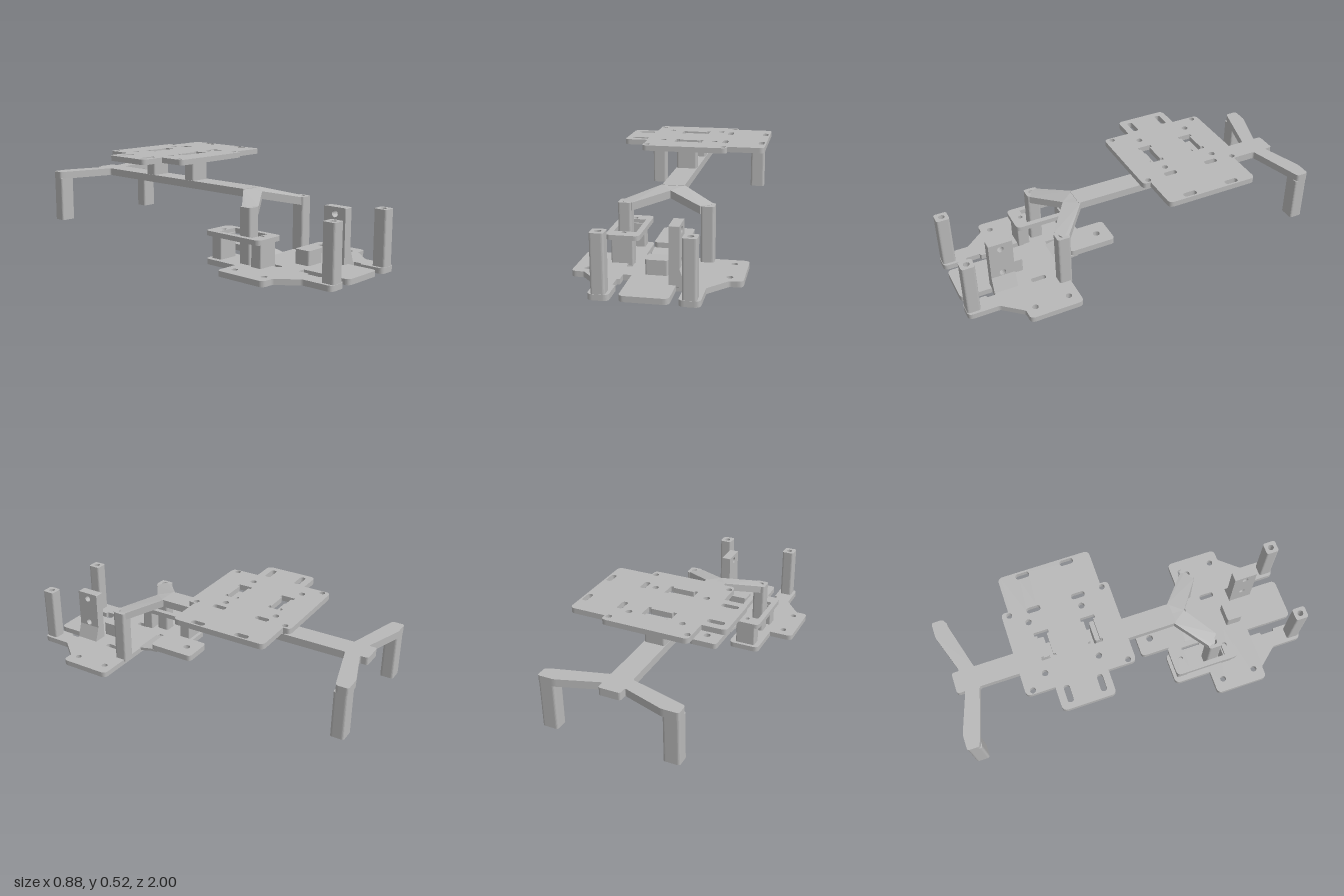
import * as THREE from 'three';
import { ConvexGeometry } from 'three/addons/geometries/ConvexGeometry.js';

const CX = -0.01; // the frame's mirror line

// Polygon with rounded corners; each point is [a, b, optional radius]
function rounded(pts, r, target) {
  const n = pts.length;
  pts.forEach((p, i) => {
    const rad = p[2] ?? r;
    const c = new THREE.Vector2(p[0], p[1]);
    const toward = (q) => {
      const d = new THREE.Vector2(q[0], q[1]).sub(c);
      const len = d.length();
      return d.multiplyScalar(Math.min(rad, len * 0.48) / len).add(c);
    };
    const a = toward(pts[(i + n - 1) % n]), b = toward(pts[(i + 1) % n]);
    if (i === 0) target.moveTo(a.x, a.y); else target.lineTo(a.x, a.y);
    if (rad > 0) target.quadraticCurveTo(c.x, c.y, b.x, b.y);
  });
  target.closePath();
  return target;
}

const rect = (x0, x1, z0, z1) => [[x0, z0], [x1, z0], [x1, z1], [x0, z1]];
const circle = (x, z, r) => ({ x, z, r });
const slot = (x, z, w, d) => ({ pts: rect(x - w / 2, x + w / 2, z - d / 2, z + d / 2), r: Math.min(w, d) / 2 });

// Holes run counterclockwise so that their walls face inward
function holePath(h) {
  const p = new THREE.Path();
  if (h.pts) return rounded(h.pts.map(([x, z]) => [x, -z]).reverse(), h.r, p);
  p.absarc(h.x, -h.z, h.r, 0, Math.PI * 2, false);
  return p;
}

// Horizontal plate from an outline in x and z
function slab(pts, y0, y1, r = 0.02, holes = []) {
  const s = rounded(pts.map(([x, z, q]) => [x, -z, q]), r, new THREE.Shape());
  holes.forEach((h) => s.holes.push(holePath(h)));
  const g = new THREE.ExtrudeGeometry(s, { depth: y1 - y0, bevelEnabled: false, curveSegments: 8 });
  return g.rotateX(-Math.PI / 2).translate(0, y0, 0);
}

// Upright plate from an outline in z and y, running from x0 to x1
function upright(pts, x0, x1, r, holes = []) {
  const s = rounded(pts.map(([z, y]) => [-z, y]), r, new THREE.Shape());
  holes.forEach(([z, y, q]) => s.holes.push(holePath(circle(-z, -y, q))));
  const g = new THREE.ExtrudeGeometry(s, { depth: x1 - x0, bevelEnabled: false, curveSegments: 8 });
  return g.rotateY(Math.PI / 2).translate(x0, 0, 0);
}

export function createModel() {
  const model = new THREE.Group();
  model.name = 'sensorFrame';
  const grey = new THREE.MeshStandardMaterial({ color: 0xb8b8b8 });
  grey.name = 'printedGrey';
  const add = (name, geometry) => {
    const m = new THREE.Mesh(geometry, grey);
    m.name = name;
    model.add(m);
  };

  // Base plate with front prongs, central tray and rear servo tab
  const base = [
    [-0.44, 0.42], [-0.305, 0.42, 0], [-0.305, 0.21], [-0.125, 0.21], [-0.125, 0.42, 0],
    [0.419, 0.42], [0.419, 0.72], [0.352, 0.72, 0.01], [0.257, 0.83, 0.01], [0.257, 1],
    [0.152, 1], [0.152, 0.87, 0], [0.167, 0.865, 0], [0.167, 0.82, 0], [0.11, 0.82, 0],
    [0.11, 0.995], [-0.13, 0.995], [-0.13, 0.725, 0], [-0.173, 0.725, 0], [-0.173, 0.785, 0],
    [-0.188, 0.79, 0], [-0.188, 0.865, 0], [-0.173, 0.87, 0], [-0.173, 1], [-0.278, 1],
    [-0.278, 0.83, 0.01], [-0.372, 0.72, 0.01], [-0.44, 0.72],
  ];
  const baseHoles = [slot(0.149, 0.57, 0.03, 0.085), slot(-0.17, 0.57, 0.03, 0.085)];
  for (const x of [-0.369, 0.347]) for (const z of [0.477, 0.667]) baseHoles.push(circle(x, z, 0.017));
  add('basePlate', slab(base, 0, 0.03, 0.03, baseHoles));

  // Raised rear tongue and its thin sloping link to the base
  add('rearTongue', slab(rect(-0.1, 0.075, 0.073, 0.345), 0.042, 0.076, 0.025, [circle(CX, 0.15, 0.02)]));
  add('tongueRamp', upright([[0.43, 0.012], [0.43, 0.03], [0.345, 0.047], [0.3, 0.047], [0.3, 0.036], [0.345, 0.033]], -0.1, 0.075, 0));

  // Block and drilled bracket on the base
  add('baseBlock', slab(rect(-0.067, 0.047, 0.617, 0.707), 0.02, 0.108, 0.012));
  add('uprightBracket', upright([[0.69, 0.02], [0.822, 0.02], [0.822, 0.323], [0.69, 0.323]], 0.075, 0.127, 0.004,
    [[0.757, 0.287, 0.018], [0.757, 0.132, 0.018]]));
  const gusset = new THREE.Shape([[0.126, 0.02], [0.157, 0.02], [0.155, 0.03], [0.127, 0.112]].map((p) => new THREE.Vector2(...p)));
  add('bracketGusset', new THREE.ExtrudeGeometry(gusset, { depth: 0.132, bevelEnabled: false }).translate(0, 0, 0.69));

  // Servo mount: slotted deck on two posts
  add('servoDeck', slab(rect(-0.305, -0.127, 0.21, 0.577), 0.154, 0.18, 0.03, [
    { pts: rect(-0.275, -0.157, 0.285, 0.507), r: 0.005 }, circle(-0.217, 0.262, 0.013), circle(-0.217, 0.525, 0.013),
  ]));
  for (const z of [0.23, 0.5]) add('servoPost', slab(rect(-0.275, -0.16, z, z + 0.066), 0.02, 0.16, 0.008));

  // Spine with rear cross arms in one piece
  const half = [[0.06, 0.275, 0], [0.06, -0.845, 0.01], [0.35, -0.925, 0.01], [0.375, -0.935, 0.012], [0.375, -1, 0.015], [0.285, -1, 0.015], [0.06, -0.925, 0.01], [0.06, -0.97, 0.015]];
  const spine = [...half.map(([x, z, r]) => [CX + x, z, r]), ...half.slice().reverse().map(([x, z, r]) => [CX - x, z, r])];
  add('spineAndRearArms', slab(spine, 0.333, 0.375, 0.01));

  for (const s of [-1, 1]) {
    // Rear leg, drilled from below
    const rx = CX + s * 0.331;
    add('rearLeg', slab(rect(rx - 0.044, rx + 0.044, -0.998, -0.923), 0.08, 0.335, 0.015, [circle(rx, -0.962, 0.017)]));

    // Sloping fork arm from the spine to the middle leg
    const pts = [];
    for (const [x, y, z] of [[0, 0.375, 0.25], [0.06, 0.375, 0.265], [0, 0.364, 0.345], [0.235, 0.325, 0.412], [0.235, 0.322, 0.44], [0.175, 0.325, 0.472]]) {
      pts.push(new THREE.Vector3(CX + s * x, y, z), new THREE.Vector3(CX + s * x, y - 0.042, z));
    }
    add('forkArm', new ConvexGeometry(pts));

    // Middle and front legs, drilled from the top
    const lx = CX + s * 0.215;
    add('middleLeg', slab(rect(lx - 0.035, lx + 0.035, 0.407, 0.48), 0.02, 0.325, 0.014, [circle(lx, 0.444, 0.017)]));
    add('frontLeg', slab(rect(lx - 0.035, lx + 0.035, 0.925, 0.998), 0.02, 0.325, 0.014, [circle(lx, 0.961, 0.017)]));
  }

  // Posts carrying the top plate
  for (const z of [-0.188, -0.51]) add('platePost', slab(rect(-0.067, 0.047, z, z + 0.07), 0.37, 0.491, 0.012));

  // Top plate with mounting holes and H-shaped openings
  const top = [
    [-0.25, -0.62], [0.23, -0.62], [0.23, -0.58, 0], [0.436, -0.58], [0.436, -0.063], [0.23, -0.063, 0],
    [0.23, -0.02], [-0.25, -0.02], [-0.25, -0.175, 0], [-0.385, -0.175], [-0.385, -0.465], [-0.25, -0.465, 0],
  ];
  const topHoles = [];
  for (const x of [-0.229, 0.207]) for (const z of [-0.58, -0.06]) topHoles.push(circle(x, z, 0.016));
  for (const x of [-0.16, 0.139]) for (const z of [-0.493, -0.198]) topHoles.push(circle(x, z, 0.017));
  for (const x of [0.202, 0.41]) for (const z of [-0.447, -0.197]) topHoles.push(slot(x, z, 0.032, 0.075));
  for (const z of [-0.41, -0.23]) topHoles.push(slot(-0.305, z, 0.095, 0.032));
  for (const z of [-0.448, -0.19]) {
    const side = (s) => [[0.06, -0.025], [0.06, -0.04], [0.08, -0.04], [0.08, 0.04], [0.06, 0.04], [0.06, 0.028]]
      .map(([x, d]) => [CX + s * x, z + d]);
    topHoles.push({ pts: [...side(1), ...side(-1).reverse()], r: 0.004 });
  }
  add('topPlate', slab(top, 0.49, 0.52, 0.03, topHoles));

  return model;
}
